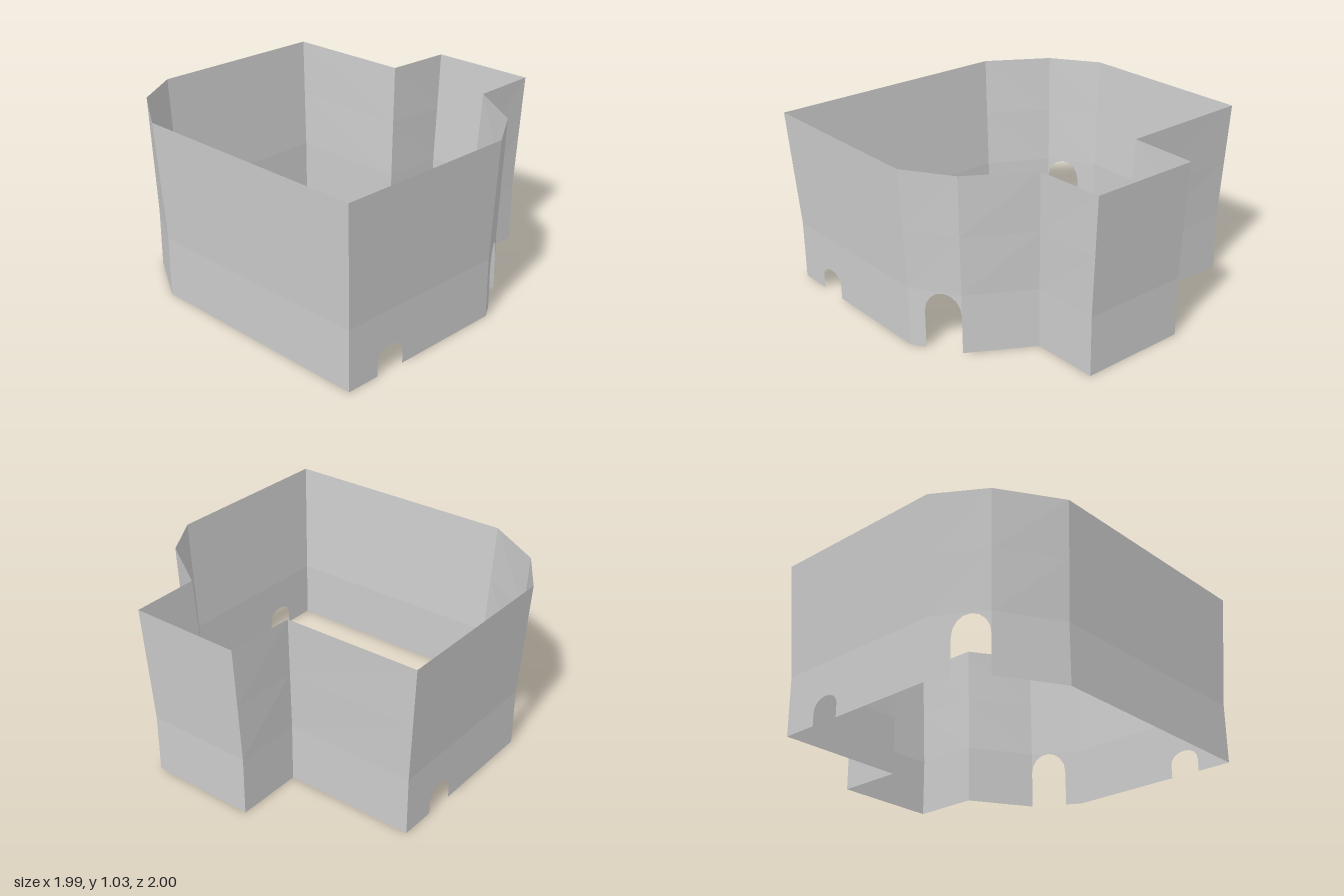
import * as THREE from 'three';

const KNEE = 0.345, TOP = 1.03;

// Corners, anticlockwise from above: [foot x, foot z, rim x, rim z]
const corners = [
  [-0.45, 0.96, -0.47, 1.0],
  [0.955, 0.96, 0.99, 1.0],
  [0.955, -0.09, 0.99, -0.1],
  [0.8, -0.35, 0.82, -0.37],
  [0.445, -0.56, 0.47, -0.595],
  [0.445, -0.955, 0.46, -1.0],
  [-0.19, -0.955, -0.19, -1.0],
  [-0.19, -0.56, -0.205, -0.595],
  [-0.96, -0.56, -1.0, -0.585],
  [-0.96, 0.49, -1.0, 0.5],
  [-0.8, 0.76, -0.82, 0.78],
];

// Walls in the same order; an arch is its span along the wall, springing and crown heights
const walls = [
  { name: 'frontWall' },
  { name: 'leftWall', arch: [0.19, 0.362, 0.08, 0.147] },
  { name: 'backLeftChamferWithDoor', arch: [0.31, 1, 0.22, 0.34] },
  { name: 'backLeftSlant' },
  { name: 'alcoveLeftWall' },
  { name: 'alcoveBackWall' },
  { name: 'alcoveRightWall' },
  { name: 'backWall' },
  { name: 'rightWall', arch: [0.2, 0.372, 0.08, 0.147] },
  { name: 'frontRightChamferWithDoor', arch: [0.36, 1, 0.22, 0.34] },
  { name: 'frontRightSlant' },
];

// Unit-wide upright band with an optional arched notch in its lower edge
function lowerBand(arch) {
  const s = new THREE.Shape();
  s.moveTo(0, 0);
  if (arch) {
    const [a, b, spring, crown] = arch;
    s.lineTo(a, 0);
    for (let i = 0; i <= 8; i++) {
      const t = Math.PI * (1 - i / 8);
      s.lineTo((a + b) / 2 + Math.cos(t) * (b - a) / 2, spring + Math.sin(t) * (crown - spring));
    }
    if (b < 1) s.lineTo(b, 0);
  }
  if (!arch || arch[1] < 1) s.lineTo(1, 0);
  s.lineTo(1, KNEE);
  s.lineTo(0, KNEE);
  return new THREE.ShapeGeometry(s);
}

// Place a unit-wide band between two corners, leaning outwards above the knee
function fit(geo, c, d) {
  const p = geo.attributes.position;
  for (let i = 0; i < p.count; i++) {
    const u = p.getX(i), y = p.getY(i);
    const f = Math.max(0, (y - KNEE) / (TOP - KNEE));
    const at = (k) => THREE.MathUtils.lerp(
      THREE.MathUtils.lerp(c[k], c[k + 2], f),
      THREE.MathUtils.lerp(d[k], d[k + 2], f), u);
    p.setXYZ(i, at(0), y, at(1));
  }
  geo.computeVertexNormals();
  return geo;
}

export function createModel() {
  const model = new THREE.Group();
  model.name = 'openRoomShell';
  const material = new THREE.MeshStandardMaterial({
    color: 0xcccccc, flatShading: true, side: THREE.DoubleSide,
  });

  walls.forEach(({ name, arch }, i) => {
    const c = corners[i], d = corners[(i + 1) % corners.length];
    const wall = new THREE.Group();
    wall.name = name;

    // Upright foot of the wall, with its doorway
    const lower = new THREE.Mesh(fit(lowerBand(arch), c, d), material);
    lower.name = 'lowerWall';

    // Flared upper part
    const band = new THREE.PlaneGeometry(1, TOP - KNEE, 1, 2).translate(0.5, (TOP + KNEE) / 2, 0);
    const upper = new THREE.Mesh(fit(band, c, d), material);
    upper.name = 'upperWall';

    wall.add(lower, upper);
    model.add(wall);
  });
  return model;
}
